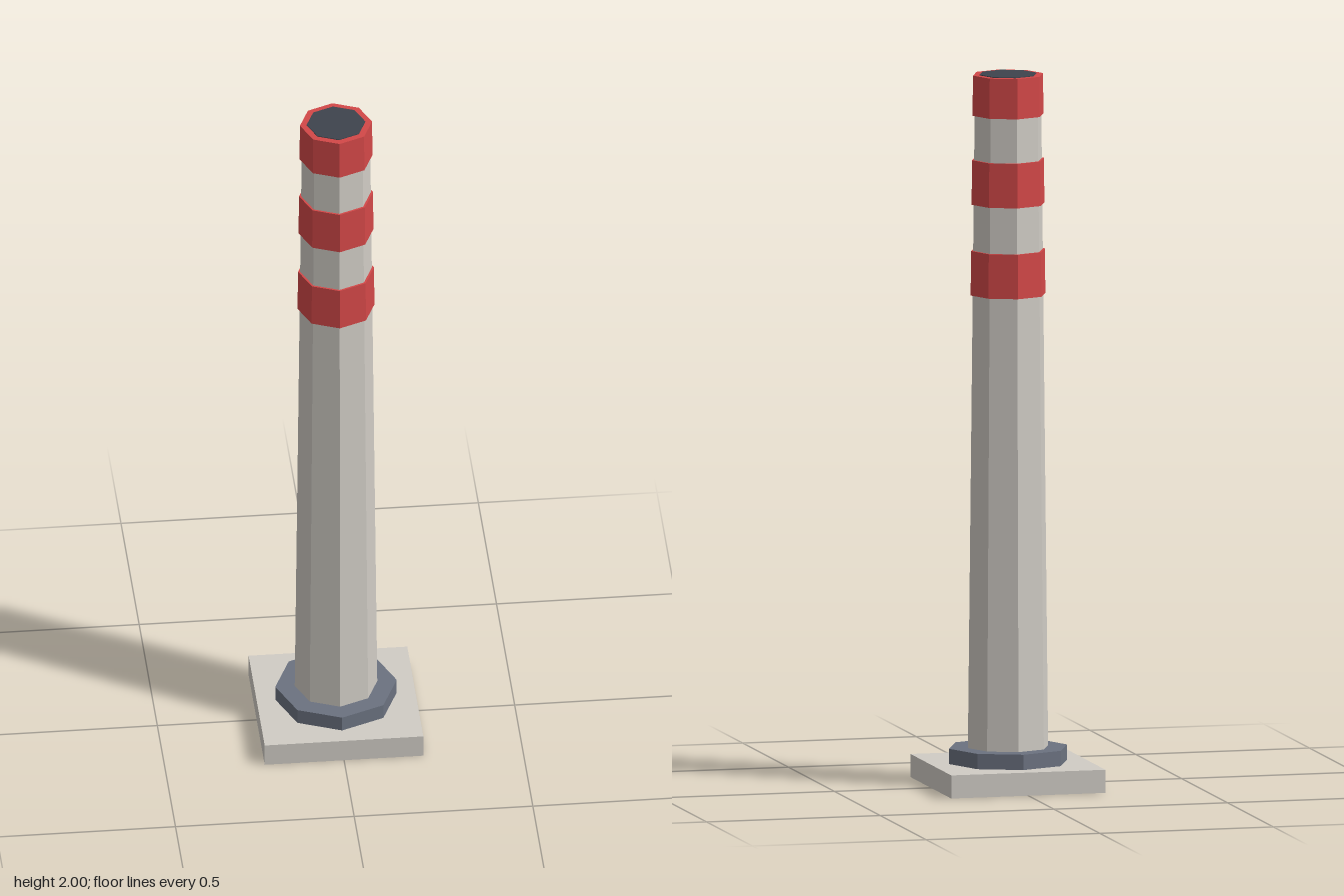
import * as THREE from 'three';

const paint = (name, color) => {
  const m = new THREE.MeshStandardMaterial({ color, flatShading: true });
  m.name = name;
  return m;
};

export function createModel() {
  const group = new THREE.Group();
  const concrete = paint('pale concrete', 0xd0ccc5);
  const red = paint('warning red', 0xd34848);
  const slate = paint('slate metal', 0x6b7280);
  const dark = paint('dark cap', 0x3e444d);

  const add = (name, geometry, material, y) => {
    const mesh = new THREE.Mesh(geometry, material);
    mesh.name = name;
    mesh.position.y = y;
    group.add(mesh);
  };
  // Eight-sided tapered section between two heights
  const octagon = (name, rTop, rBottom, y0, y1, material) =>
    add(name, new THREE.CylinderGeometry(rTop, rBottom, y1 - y0, 8), material, (y0 + y1) / 2);

  // Footing and collar
  add('basePlate', new THREE.BoxGeometry(0.444, 0.065, 0.444), concrete, 0.0325);
  octagon('collar', 0.17, 0.17, 0.065, 0.108, slate);

  // Tapered post
  const y0 = 0.065, y1 = 1.99, rBottom = 0.116, rTop = 0.095;
  const postRadius = (y) => THREE.MathUtils.mapLinear(y, y0, y1, rBottom, rTop);
  octagon('post', rTop, rBottom, y0, y1, concrete);

  // Bands follow the taper, slightly proud of the post
  [[1.38, 1.505], [1.635, 1.76], [1.885, 1.998]].forEach(([a, b], i) =>
    octagon(`band${i + 1}`, postRadius(b) + 0.006, postRadius(a) + 0.006, a, b, red));

  // Dark inset on top
  octagon('topCap', 0.082, 0.082, 1.99, 2, dark);

  return group;
}
